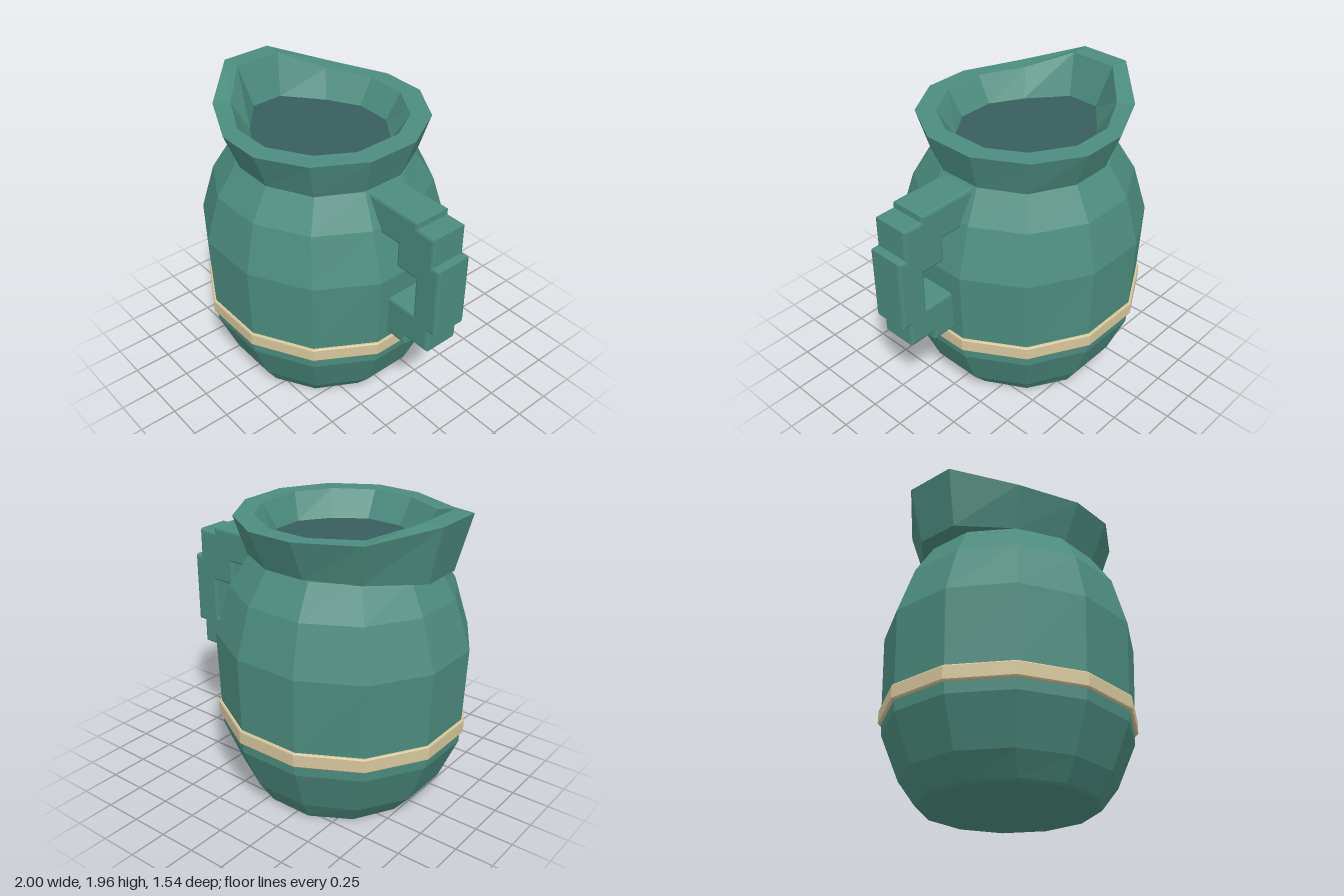
import * as THREE from 'three';

const CENTRE_X = -0.195;
const SIDES = 12;

// A ring from the half with z > 0 (six [x, y, z] points), mirrored to the other half
function mirrorRing(half) {
  return [...half, ...half.slice().reverse().map(([x, y, z]) => [x, y, -z])];
}

// Twelve-sided oval ring, given its half widths across the flats
function ovalRing(y, halfX, halfZ) {
  const half = [];
  const k = 1 / Math.cos(Math.PI / SIDES);
  for (let i = 0; i < SIDES / 2; i++) {
    const a = ((i + 0.5) / SIDES) * Math.PI * 2;
    half.push([CENTRE_X + halfX * k * Math.cos(a), y, halfZ * k * Math.sin(a)]);
  }
  return mirrorRing(half);
}

// Skin over successive rings, optionally closing the first or last one
function loft(rings, capStart = false, capEnd = false) {
  const pos = [];
  const tri = (...pts) => pts.forEach((p) => pos.push(...p));
  for (let r = 0; r < rings.length - 1; r++) {
    for (let i = 0; i < SIDES; i++) {
      const j = (i + 1) % SIDES;
      const a = rings[r][i], b = rings[r][j], c = rings[r + 1][j], d = rings[r + 1][i];
      tri(a, d, b);
      tri(b, d, c);
    }
  }
  const cap = (ring, up) => {
    const centre = [CENTRE_X, ring[0][1], 0];
    ring.forEach((p, i) => {
      const q = ring[(i + 1) % SIDES];
      if (up) tri(centre, q, p);
      else tri(centre, p, q);
    });
  };
  if (capStart) cap(rings[0], false);
  if (capEnd) cap(rings[rings.length - 1], true);
  const geo = new THREE.BufferGeometry();
  geo.setAttribute('position', new THREE.Float32BufferAttribute(pos, 3));
  geo.computeVertexNormals();
  return geo;
}

export function createModel() {
  const group = new THREE.Group();
  const material = (name, color) => {
    const m = new THREE.MeshStandardMaterial({ color, flatShading: true });
    m.name = name;
    return m;
  };
  const green = material('green glaze', 0x4c8c7e);
  const cream = material('cream band', 0xd6c69c);
  const dark = material('dark interior', 0x385e5e);
  const add = (name, geo, mat) => {
    const mesh = new THREE.Mesh(geo, mat);
    mesh.name = name;
    group.add(mesh);
  };

  // Belly: [height, half width in x, half width in z]
  const belly = [
    [0, 0.53, 0.54], [0.015, 0.545, 0.553], [0.15, 0.658, 0.635], [0.44, 0.778, 0.747],
    [0.6, 0.787, 0.753], [1.09, 0.805, 0.765], [1.41, 0.70, 0.68], [1.61, 0.585, 0.55],
  ].map((r) => ovalRing(...r));

  // Neck with the spout drawn out towards -x
  const neckBase = mirrorRing([
    [0.385, 1.612, 0.14], [0.24, 1.612, 0.41], [-0.03, 1.612, 0.55],
    [-0.31, 1.612, 0.55], [-0.62, 1.606, 0.41], [-0.895, 1.6, 0.14],
  ]);
  const rimOuter = mirrorRing([
    [0.465, 1.86, 0.17], [0.29, 1.86, 0.475], [0, 1.86, 0.65],
    [-0.305, 1.86, 0.65], [-0.68, 1.868, 0.475], [-0.985, 1.96, 0.17],
  ]);
  const rimInner = mirrorRing([
    [0.33, 1.86, 0.16], [0.2, 1.86, 0.38], [-0.05, 1.86, 0.53],
    [-0.33, 1.86, 0.53], [-0.62, 1.866, 0.38], [-0.855, 1.96, 0.16],
  ]);
  const innerFloor = mirrorRing([
    [0.26, 1.69, 0.105], [0.13, 1.69, 0.29], [-0.07, 1.69, 0.43],
    [-0.32, 1.69, 0.43], [-0.53, 1.69, 0.31], [-0.77, 1.69, 0.11],
  ]);
  add('belly', loft(belly, true), green);
  add('neckAndSpout', loft([belly[belly.length - 1], neckBase, rimOuter, rimInner, innerFloor]), green);
  add('interior', loft([innerFloor], false, true), dark);

  // Band around the belly, with small bevels
  const band = [
    [0.51, 0.77, 0.735], [0.51, 0.797, 0.764], [0.518, 0.803, 0.77],
    [0.597, 0.803, 0.77], [0.605, 0.797, 0.764], [0.605, 0.77, 0.735],
  ].map((r) => ovalRing(...r));
  add('band', loft(band), cream);

  // Stepped handle, outlined from the top attachment round to the lower one
  const outline = [
    [0.32, 1.6], [0.805, 1.6], [0.805, 1.56], [0.94, 1.56], [0.94, 1.365], [0.995, 1.365],
    [0.995, 0.88], [0.94, 0.88], [0.94, 0.72], [0.75, 0.72], [0.75, 0.65], [0.52, 0.65],
    [0.52, 0.935], [0.81, 0.935], [0.81, 1.21], [0.65, 1.21], [0.65, 1.375], [0.32, 1.375],
  ].reverse().map(([x, y]) => new THREE.Vector2(x, y));
  const halfWidth = 0.124, bevel = 0.018;
  const handle = new THREE.ExtrudeGeometry(new THREE.Shape(outline), {
    depth: 2 * (halfWidth - bevel),
    bevelEnabled: true,
    bevelThickness: bevel,
    bevelSize: bevel,
    bevelOffset: -bevel,
    bevelSegments: 2,
  });
  handle.translate(0, 0, bevel - halfWidth);
  add('handle', handle, green);

  return group;
}
